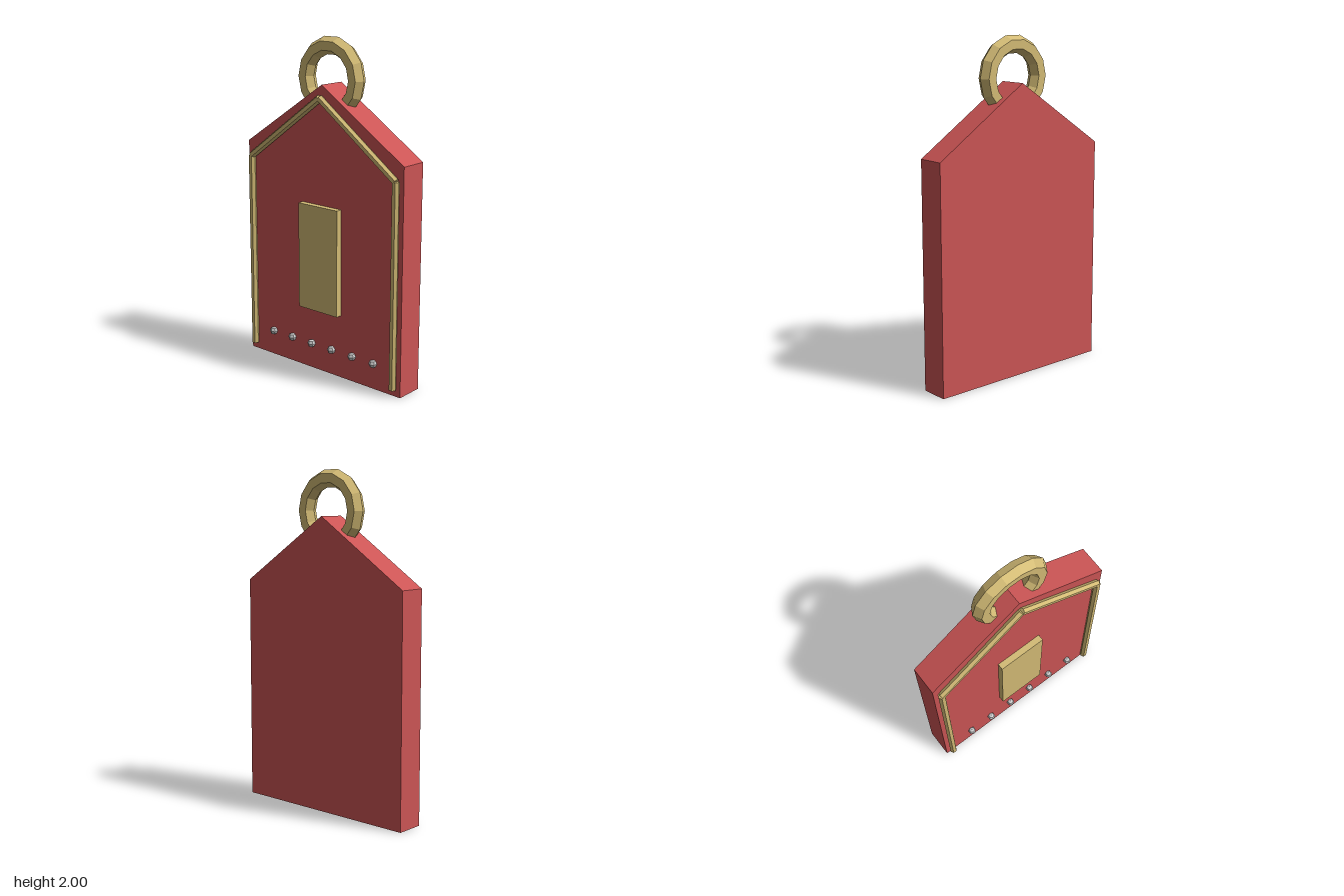
import * as THREE from 'three';

export function createModel() {
  const group = new THREE.Group();
  const mat = (color) => new THREE.MeshStandardMaterial({ color, flatShading: true });
  const red = mat(0xcc5555), gold = mat(0xd4bc76), grey = mat(0xcccccc);

  const add = (name, geometry, material, x = 0, y = 0, z = 0) => {
    const mesh = new THREE.Mesh(geometry, material);
    mesh.name = name;
    mesh.position.set(x, y, z);
    group.add(mesh);
    return mesh;
  };

  // Gabled slab
  const outline = new THREE.Shape([
    [-0.593, 0], [0.593, 0], [0.593, 1.345], [0, 1.735], [-0.593, 1.345],
  ].map(([x, y]) => new THREE.Vector2(x, y)));
  add('body', new THREE.ExtrudeGeometry(outline, { depth: 0.17, bevelEnabled: false }), red, 0, 0, -0.105);

  // Hanging ring, partly sunk into the peak
  const ring = add('hangingRing', new THREE.TorusGeometry(0.188, 0.0525, 6, 14), gold, 0, 1.765, -0.02);
  ring.rotation.z = 0;

  // Hexagonal trim rods, flat side to the front
  const rod = (name, x1, y1, x2, y2) => {
    const dx = x2 - x1, dy = y2 - y1;
    const geometry = new THREE.CylinderGeometry(0.022, 0.022, Math.hypot(dx, dy), 6);
    geometry.rotateY(Math.PI / 6);
    const mesh = add(name, geometry, gold, (x1 + x2) / 2, (y1 + y2) / 2, 0.082);
    mesh.rotation.z = Math.atan2(-dx, dy);
  };
  for (const [side, s] of [['left', 1], ['right', -1]]) {
    rod(side + 'SideTrim', s * 0.55, 0.045, s * 0.55, 1.26);
    rod(side + 'RoofTrim', s * 0.55, 1.26, 0, 1.66);
  }

  // Front plate
  add('frontPlate', new THREE.BoxGeometry(0.298, 0.643, 0.04), gold, -0.001, 0.71, 0.083);

  // Row of small studs
  const studGeometry = new THREE.SphereGeometry(0.025, 6, 4).rotateY(Math.PI / 6);
  for (let i = 0; i < 6; i++) {
    add('stud' + (i + 1), studGeometry, grey, -0.39 + i * 0.1586, 0.162, 0.08);
  }

  return group;
}
